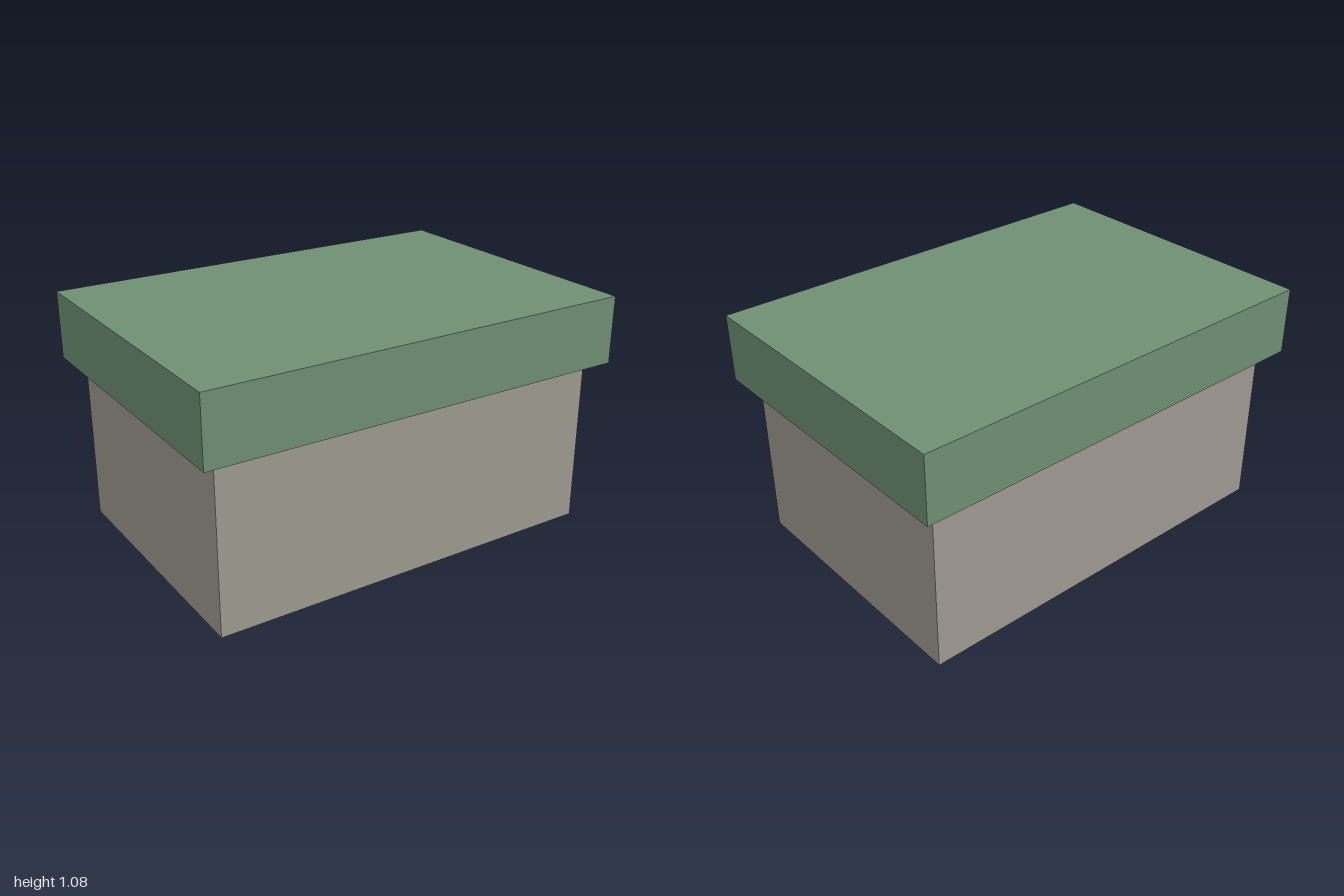
import * as THREE from 'three';

// Box resting on height y
function block(name, width, height, depth, y, color) {
  const mesh = new THREE.Mesh(
    new THREE.BoxGeometry(width, height, depth),
    new THREE.MeshStandardMaterial({ color })
  );
  mesh.name = name;
  mesh.position.y = y + height / 2;
  return mesh;
}

export function createModel() {
  const u = 1 / 13; // the lid is 26 units wide
  const model = new THREE.Group();
  model.name = 'boxWithLid';
  // Plain body, and a lid overhanging it by one unit all round
  model.add(block('body', 24 * u, 10 * u, 16 * u, 0, 0x9e9a91));
  model.add(block('lid', 26 * u, 4 * u, 18 * u, 10 * u, 0x6f8f74));
  return model;
}
